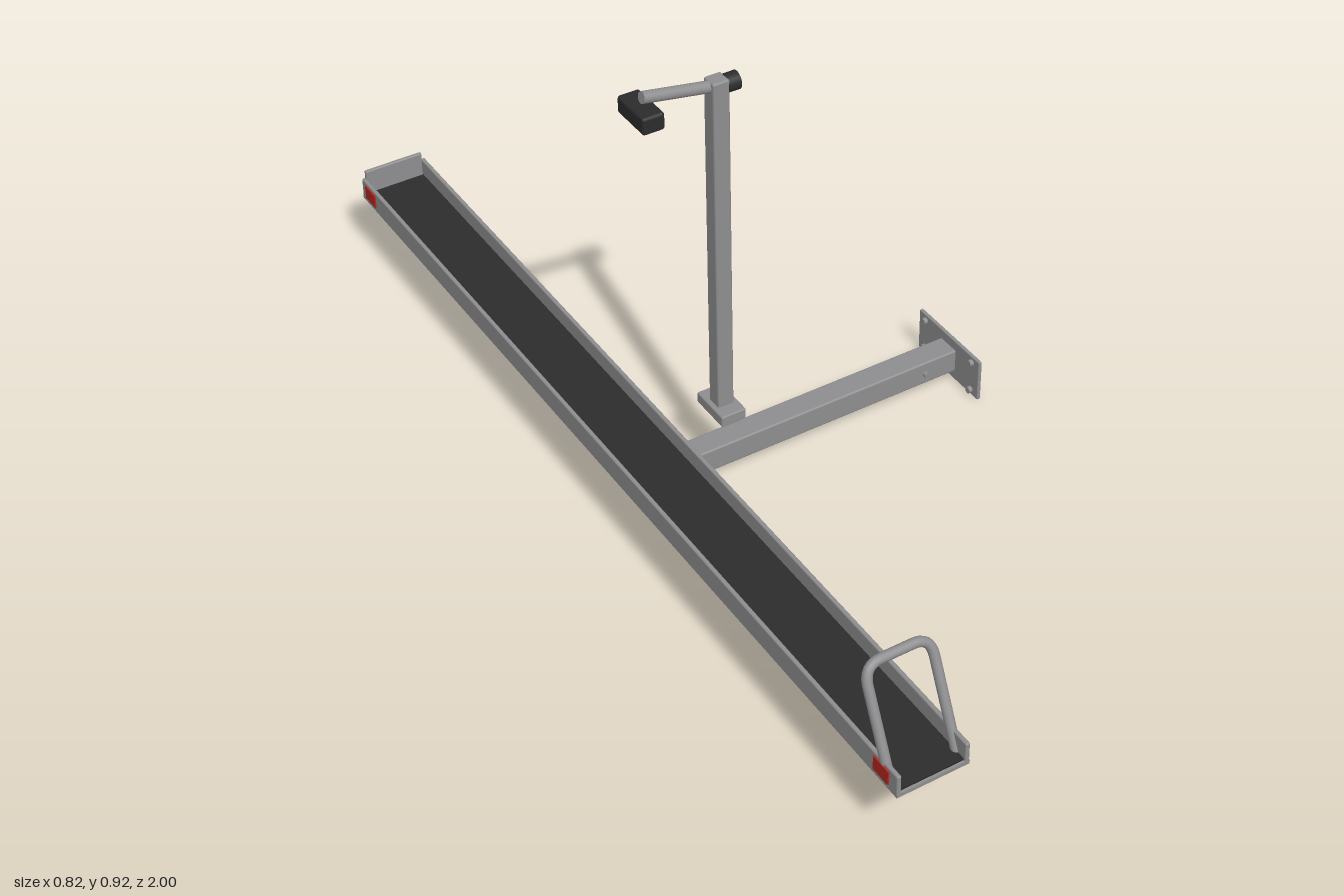
import * as THREE from 'three';
import { RoundedBoxGeometry } from 'three/addons/geometries/RoundedBoxGeometry.js';

const material = (name, color) => new THREE.MeshStandardMaterial({ name, color });

export function createModel() {
  const root = new THREE.Group();
  root.name = 'wheelRailStand';
  const steel = material('greySteel', 0x8e8e90);
  const rubber = material('blackRubber', 0x2c2c2c);
  const red = material('redReflector', 0xb3261e);

  const add = (name, geometry, mat) => {
    const mesh = new THREE.Mesh(geometry, mat);
    mesh.name = name;
    root.add(mesh);
    return mesh;
  };

  // Box given by its limits; a radius rounds the edges
  const box = (name, mat, [x0, x1], [y0, y1], [z0, z1], radius = 0) => {
    const size = [x1 - x0, y1 - y0, z1 - z0];
    const geometry = radius
      ? new RoundedBoxGeometry(...size, 2, radius)
      : new THREE.BoxGeometry(...size);
    const mesh = add(name, geometry, mat);
    mesh.position.set((x0 + x1) / 2, (y0 + y1) / 2, (z0 + z1) / 2);
    return mesh;
  };

  // Round bar between two points
  const rod = (name, mat, from, to, radius) => {
    const a = new THREE.Vector3(...from);
    const b = new THREE.Vector3(...to);
    const dir = b.clone().sub(a);
    const mesh = add(name, new THREE.CylinderGeometry(radius, radius, dir.length(), 24), mat);
    mesh.position.copy(a).add(b).multiplyScalar(0.5);
    mesh.quaternion.setFromUnitVectors(new THREE.Vector3(0, 1, 0), dir.normalize());
    return mesh;
  };

  // Wheel rail: floor, mat, side walls and rear stop
  box('railFloor', steel, [-0.408, -0.262], [0.145, 0.153], [-0.998, 1]);
  box('railMat', rubber, [-0.4, -0.27], [0.153, 0.157], [-0.99, 0.995]);
  box('railWallRight', steel, [-0.408, -0.399], [0.145, 0.193], [-0.998, 1], 0.003);
  box('railWallLeft', steel, [-0.271, -0.262], [0.145, 0.193], [-0.998, 1], 0.003);
  box('rearStop', steel, [-0.4, -0.27], [0.147, 0.21], [-1, -0.991], 0.003);
  for (const z of [-0.955, 0.955]) {
    box('reflector', red, [-0.411, -0.407], [0.157, 0.187], [z - 0.022, z + 0.022]);
  }

  // Leaning hoop handle at the front of the rail
  const slope = (y) => 0.97 - (y - 0.155) * 0.45;
  const point = (x, y) => new THREE.Vector3(-0.335 + x, y, slope(y));
  const hoop = new THREE.CurvePath();
  hoop.add(new THREE.LineCurve3(point(-0.066, 0.152), point(-0.066, 0.312)));
  hoop.add(new THREE.QuadraticBezierCurve3(point(-0.066, 0.312), point(-0.066, 0.346), point(-0.032, 0.346)));
  hoop.add(new THREE.LineCurve3(point(-0.032, 0.346), point(0.032, 0.346)));
  hoop.add(new THREE.QuadraticBezierCurve3(point(0.032, 0.346), point(0.066, 0.346), point(0.066, 0.312)));
  hoop.add(new THREE.LineCurve3(point(0.066, 0.312), point(0.066, 0.152)));
  add('hoopHandle', new THREE.TubeGeometry(hoop, 80, 0.0095, 14), steel);

  // Beam under the rail and the slanting struts
  box('underBeam', steel, [-0.356, -0.311], [0.095, 0.14], [-0.57, 0.575], 0.003);
  for (const side of [-1, 1]) {
    rod('strut', steel, [-0.333, 0.125, side * 0.815], [-0.256, 0.05, side * 0.02], 0.0105);
  }

  // Wall arm with its upright block
  box('armBlock', steel, [-0.284, -0.23], [0.025, 0.134], [-0.034, 0.034], 0.004);
  box('wallArm', steel, [-0.235, 0.401], [0.025, 0.077], [-0.026, 0.026], 0.004);
  rod('crossBolt', steel, [0.326, 0.05, -0.034], [0.326, 0.05, 0.034], 0.006);

  // Wall plate and its bolts
  box('wallPlate', steel, [0.4, 0.408], [0.003, 0.097], [-0.103, 0.103], 0.002);
  for (const y of [0.016, 0.084]) {
    for (const z of [-0.08, 0.08]) {
      rod('plateBolt', steel, [0.392, y, z], [0.402, y, z], 0.007);
    }
  }

  // Mast on its foot
  box('mastFoot', steel, [-0.16, -0.106], [0.143, 0.167], [-0.046, 0.046], 0.003);
  box('mast', steel, [-0.15, -0.115], [0.16, 0.901], [-0.017, 0.017], 0.004);

  // Holding arm with rubber pad and knob
  rod('holdingArm', steel, [-0.13, 0.885, 0], [-0.285, 0.914, 0], 0.0115);
  box('holdingPad', rubber, [-0.309, -0.264], [0.866, 0.902], [-0.046, 0.046], 0.006);
  rod('clampKnob', rubber, [-0.117, 0.884, 0], [-0.091, 0.884, 0], 0.018);

  return root;
}
